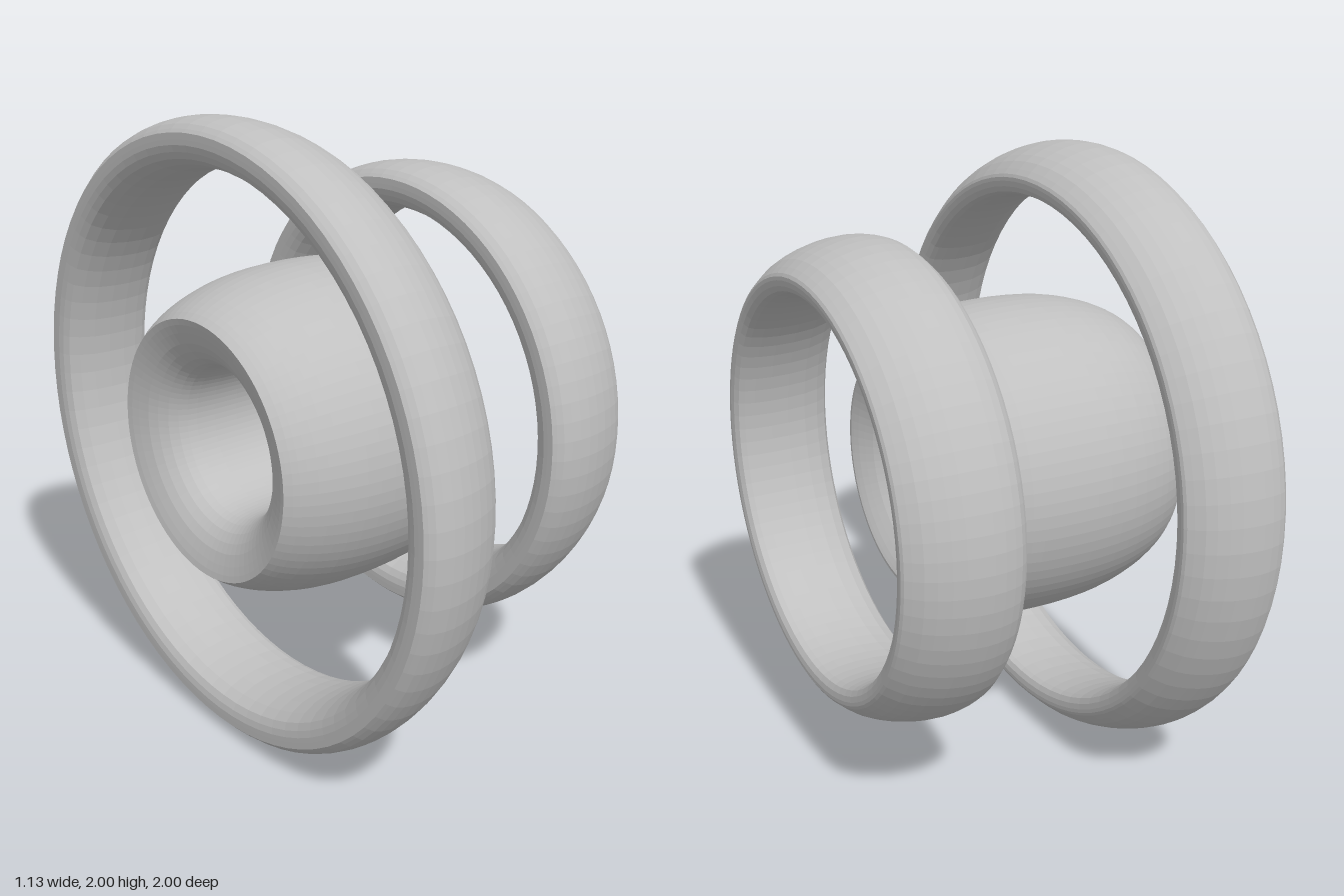
import * as THREE from 'three';

const SEGMENTS = 80;

export function createModel() {
  const group = new THREE.Group();
  const grey = new THREE.MeshStandardMaterial({ color: 0xc0c0c0, flatShading: true });
  grey.name = 'plain grey';
  const bladeGrey = grey.clone();
  bladeGrey.name = 'plain grey blade';
  bladeGrey.side = THREE.DoubleSide;

  // Smooth run of (axial, radius) points
  const smooth = (pts, n) =>
    new THREE.SplineCurve(pts.map(([a, r]) => new THREE.Vector2(r, a))).getPoints(n);

  // Closed profile revolved about the x axis, one unit above the ground
  function revolve(name, profile) {
    const geo = new THREE.LatheGeometry([...profile, profile[0].clone()], SEGMENTS);
    geo.rotateZ(-Math.PI / 2);
    const mesh = new THREE.Mesh(geo, grey);
    mesh.name = name;
    mesh.position.y = 1;
    group.add(mesh);
  }

  // Domed hoop: u runs 0..1 across the width, d is depth below the outer radius
  function hoop(name, x, width, radius) {
    const map = (pts) => pts.map(([u, d]) => [x + u * width, radius - d]);
    revolve(name, [
      ...smooth(map([[0, 0.04], [0.1, 0.013], [0.32, 0], [0.58, 0.012], [0.83, 0.046], [0.985, 0.09]]), 12),
      ...smooth(map([[1, 0.1], [1, 0.112], [0.99, 0.13]]), 2),
      ...smooth(map([[0.96, 0.147], [0.85, 0.16], [0.6, 0.165], [0.3, 0.155], [0.08, 0.125], [0.01, 0.09], [0, 0.06]]), 10),
    ]);
  }
  hoop('largeHoop', -0.533, 0.318, 1);
  hoop('smallHoop', 0.2, 0.365, 0.775);

  // Hub: rounded barrel with flared openings and a round bore
  revolve('hub', [
    ...smooth([[-0.57, 0.415], [-0.53, 0.443], [-0.45, 0.478], [-0.33, 0.508], [-0.18, 0.52],
      [0, 0.513], [0.1, 0.487], [0.19, 0.433], [0.235, 0.395]], 24),
    ...smooth([[0.235, 0.385], [0.215, 0.35], [0.17, 0.29], [0.11, 0.253], [0, 0.235], [-0.2, 0.232],
      [-0.4, 0.238], [-0.48, 0.26], [-0.535, 0.32], [-0.565, 0.395]], 22),
  ]);

  // Thin two-ended blade across the bore, twisting toward each tip
  const geo = new THREE.PlaneGeometry(1, 1, 1, 32);
  const pos = geo.attributes.position;
  for (let i = 0; i < pos.count; i++) {
    const t = pos.getY(i) * 2;
    const twist = 0.85 * THREE.MathUtils.smoothstep(Math.abs(t), 0.55, 0.9);
    const side = pos.getX(i) * 0.07;
    pos.setXYZ(i, side * Math.cos(twist), t * 0.238, side * Math.sin(twist));
  }
  geo.computeVertexNormals();
  const blade = new THREE.Mesh(geo, bladeGrey);
  blade.name = 'twistedBlade';
  blade.position.set(-0.28, 1, 0);
  blade.rotation.x = -0.26;
  group.add(blade);

  return group;
}
